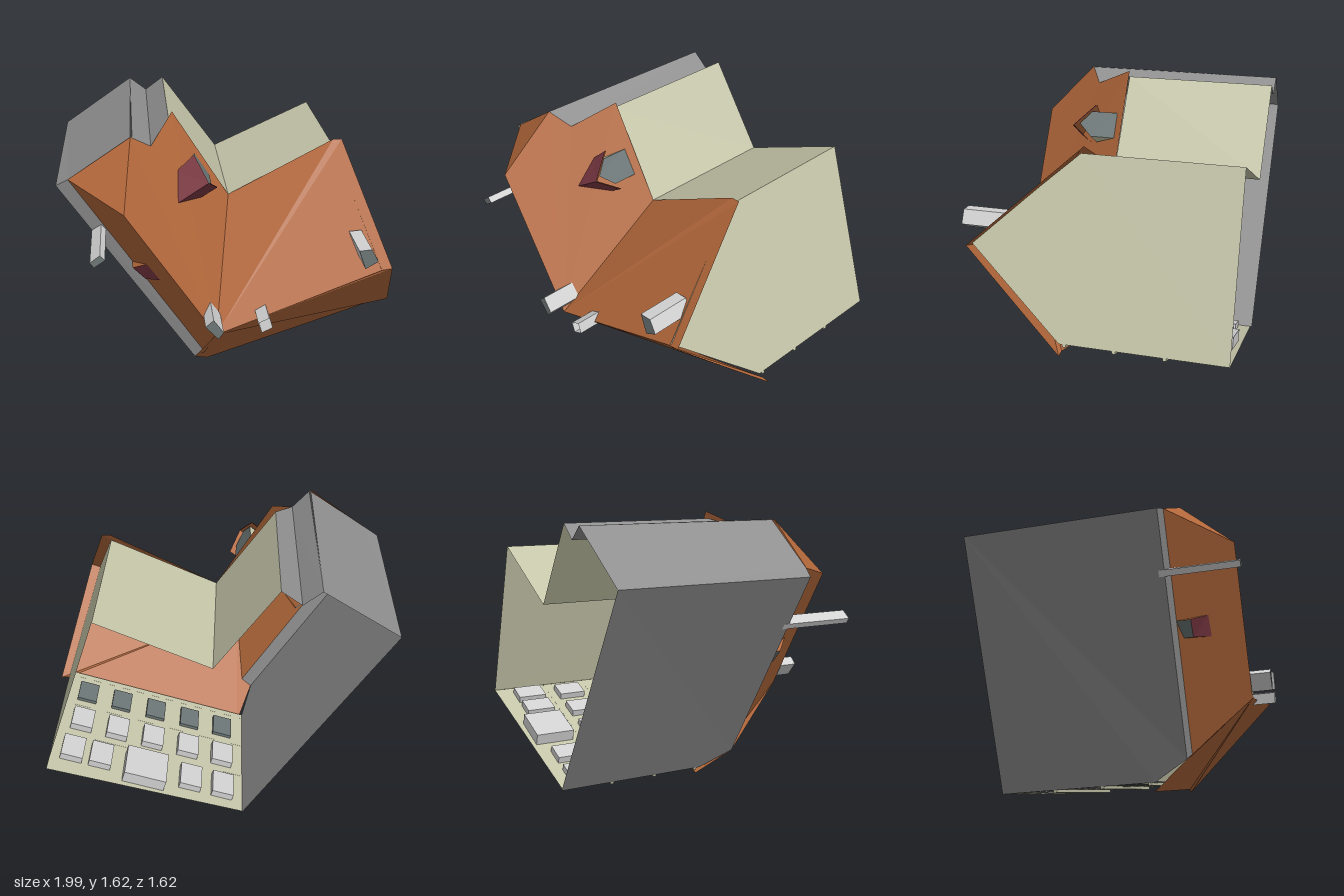
import * as THREE from 'three';

const mat = (name, color) => new THREE.MeshStandardMaterial({ name, color, side: THREE.DoubleSide, flatShading: true });

export function createModel() {
  const model = new THREE.Group();
  const roofMat = mat('roof tile orange', 0xb3683b);
  const wallMat = mat('plaster olive', 0xc6c6aa);
  const greyMat = mat('firewall grey', 0x8f8f8f);
  const paleMat = mat('pale grey', 0xd2d2d2);
  const glassMat = mat('dark glass', 0x6c7676);
  const maroonMat = mat('dormer maroon', 0x7d3944);

  // Flat polygons, each fanned from its first corner, merged into one mesh
  function faces(name, material, polygons, parent = model) {
    const pos = [];
    for (const p of polygons)
      for (let i = 1; i < p.length - 1; i++) pos.push(...p[0], ...p[i], ...p[i + 1]);
    const g = new THREE.BufferGeometry();
    g.setAttribute('position', new THREE.Float32BufferAttribute(pos, 3));
    g.computeVertexNormals();
    const mesh = new THREE.Mesh(g, material);
    mesh.name = name;
    parent.add(mesh);
    return mesh;
  }
  const sides = (pts, z0, z1) => pts.map((p, i) => {
    const q = pts[(i + 1) % pts.length];
    return [[...p, z0], [...q, z0], [...q, z1], [...p, z1]];
  });

  // Roof: two wings meeting at a corner
  const corner = [-0.15, 0.52, 0.695], ridgeR = [0.83, 0.88, 0.69], ridgeWall = [0.77, 0.875, 0.695];
  const ridgeL = [-0.63, 1.27, 0.695], valley = [-0.02, 1.11, 0.08];
  const hipA = [-0.93, 1.35, 0.355], hipB = [-0.58, 1.59, 0.38], eaveL = [-0.19, 0.19, 0.345];
  faces('frontRoofSlope', roofMat, [[corner, ridgeWall, ridgeR, [0.99, 0.36, 0.11], [0.94, 0.365, 0.11],
    [-0.16, 0.005, 0.12], [-0.25, 0.15, 0.325], eaveL]]);
  faces('backRoofSlope', roofMat, [[corner, ridgeWall, ridgeR, [0.65, 1.43, 0.075], [0.6, 1.43, 0.075], valley]]);
  faces('leftWingOuterSlope', roofMat, [[corner, ridgeL, hipA, eaveL]]);
  faces('leftWingInnerSlope', roofMat, [[corner, valley, [-0.34, 1.63, 0.075], [-0.47, 1.51, 0.31], hipB, ridgeL]]);
  faces('hipRoof', roofMat, [[ridgeL, hipA, hipB]]);

  // Plaster walls
  faces('gableWall', wallMat, [[[0.93, 0.4, -0.81], [0.6, 1.39, -0.8], [0.6, 1.39, 0.09], [0.77, 0.875, 0.685], [0.93, 0.4, 0.13]]]);
  faces('rearWall', wallMat, [[[0.6, 1.39, -0.8], [-0.02, 1.11, -0.8], [-0.02, 1.11, 0.08], [0.6, 1.39, 0.09]]]);
  faces('courtyardWall', wallMat, [[[-0.02, 1.11, -0.8], [-0.36, 1.59, -0.8], [-0.36, 1.59, 0.08], [-0.02, 1.11, 0.08]]]);

  // Grey fire walls with a narrow ledge beside the eave
  faces('leftFirewall', greyMat, [[[-0.99, 1.31, -0.78], [-0.19, 0.05, -0.78], [-0.19, 0.05, 0.13],
    [-0.25, 0.15, 0.325], [-1, 1.31, 0.335]]]);
  faces('firewallLedge', greyMat, [[[-1, 1.31, 0.335], hipA, eaveL, [-0.25, 0.15, 0.325]]]);
  faces('endFirewall', greyMat, [
    [[-0.99, 1.31, -0.78], [-0.57, 1.59, -0.8], [-0.57, 1.59, 0.37], [-0.93, 1.35, 0.355], [-1, 1.31, 0.335]],
    [[-0.57, 1.59, -0.8], [-0.47, 1.51, -0.8], [-0.47, 1.51, 0.31], hipB],
    [[-0.47, 1.51, -0.8], [-0.36, 1.59, -0.8], [-0.36, 1.59, 0.08], [-0.47, 1.51, 0.31]]]);

  // Facade frame: x runs along the street, y up the storeys, z outward
  const facade = new THREE.Group();
  facade.name = 'facade';
  const along = new THREE.Vector3(1.12, 0.35, 0).normalize(), up = new THREE.Vector3(0, 0, 1);
  facade.quaternion.setFromRotationMatrix(new THREE.Matrix4().makeBasis(along, up, along.clone().cross(up)));
  facade.position.set(-0.19, 0.05, 0);
  model.add(facade);
  const outline = new THREE.Shape([[0, -0.77], [1.173, -0.81], [1.173, 0.13], [0, 0.13]].map(p => new THREE.Vector2(...p)));

  // Recessed opening: hole in the wall, reveal and pane
  function opening(name, s, w, y0, y1, depth, material) {
    const pts = [[s - w / 2, y0], [s + w / 2, y0], [s + w / 2, y1], [s - w / 2, y1]];
    outline.holes.push(new THREE.Path(pts.map(p => new THREE.Vector2(...p))));
    faces(name, material, [...sides(pts, -depth, 0), pts.map(p => [...p, -depth])], facade);
  }
  for (const s of [0.14, 0.36, 0.585, 0.81, 1.03]) {
    opening('upperWindow', s, 0.12, -0.14, 0.03, 0.02, glassMat);
    opening('middleWindow', s, 0.13, -0.42, -0.25, 0.04, paleMat);
  }
  for (const s of [0.13, 0.33, 0.88, 1.05]) opening('groundWindow', s, 0.13, -0.7, -0.52, 0.04, paleMat);
  opening('entrance', 0.61, 0.25, -0.76, -0.52, 0.07, paleMat);
  const wall = new THREE.Mesh(new THREE.ShapeGeometry(outline), wallMat);
  wall.name = 'facadeWall';
  facade.add(wall);
  for (const y of [0.1, -0.18, -0.46]) {
    const course = new THREE.Mesh(new THREE.BoxGeometry(1.17, 0.02, 0.015), wallMat);
    course.name = 'stringCourse';
    course.position.set(0.587, y, 0.007);
    facade.add(course);
  }

  // Chimneys
  function chimney(pts, z0, z1, capped = true) {
    faces('chimney', paleMat, sides(pts, z0, z1));
    if (capped) faces('chimneyTop', glassMat, [pts.map(p => [...p, z1])]);
  }
  chimney([[-0.8, 1.0], [-0.74, 1.04], [-0.765, 1.07], [-0.82, 1.03]], 0.3, 0.745);
  chimney([[-0.15, 0.56], [-0.12, 0.6], [-0.175, 0.68], [-0.22, 0.64]], 0.52, 0.81);
  chimney([[0.66, 0.92], [0.73, 0.96], [0.69, 1.035], [0.62, 1.03]], 0.5, 0.755);
  chimney([[0.09, 0.58], [0.15, 0.61], [0.13, 0.67], [0.07, 0.64]], 0.6, 0.8, false);

  // Gabled dormer over the courtyard: maroon outside, orange lining just beneath
  const dormer = dz => [
    [[-0.33, 1.34, 0.27 + dz], [-0.33, 1.2, 0.39 + dz], [-0.16, 1.31, 0.39 + dz], [-0.23, 1.43, 0.26 + dz]],
    [[-0.33, 1.2, 0.39 + dz], [-0.19, 1.17, 0.25 + dz], [-0.1, 1.23, 0.26 + dz], [-0.16, 1.31, 0.39 + dz]]];
  faces('dormerRoof', maroonMat, dormer(0));
  faces('dormerLining', roofMat, dormer(-0.008));
  faces('dormerWindow', glassMat, [[[-0.22, 1.39, 0.12], [-0.135, 1.255, 0.12], [-0.135, 1.255, 0.27],
    [-0.18, 1.32, 0.35], [-0.22, 1.39, 0.28]]]);
  faces('dormerCheeks', wallMat, [
    [[-0.22, 1.39, 0.12], [-0.22, 1.39, 0.28], [-0.3, 1.34, 0.26]],
    [[-0.135, 1.255, 0.12], [-0.135, 1.255, 0.27], [-0.2, 1.2, 0.25]]]);

  // Shed dormer on the outer slope
  const a = [-0.52, 0.89, 0.515], b = [-0.45, 0.79, 0.52], c = [-0.53, 0.755, 0.43], d = [-0.6, 0.83, 0.43];
  const c0 = [-0.53, 0.755, 0.36], d0 = [-0.6, 0.83, 0.35];
  faces('shedDormerRoof', maroonMat, [[a, b, c, d]]);
  faces('shedDormerCheeks', roofMat, [[a, d, d0], [b, c, c0]]);
  faces('shedDormerWindow', glassMat, [[c, d, d0, c0]]);

  return model;
}
